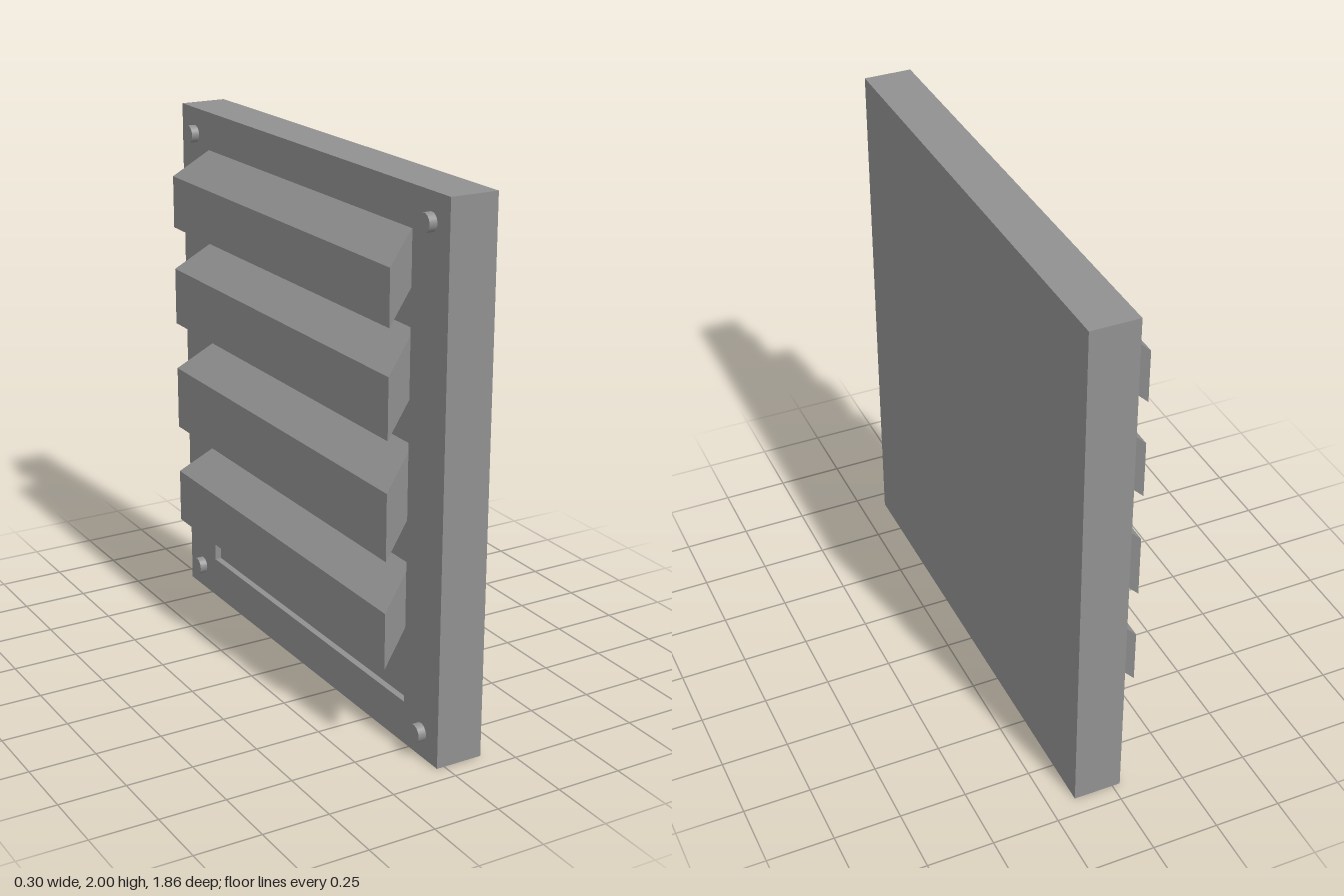
import * as THREE from 'three';

const FRONT_X = -0.03;   // face of the frame
const RECESS_X = -0.005; // floor of the shallow recess
const BACK_X = 0.15;
const HALF_Z = 0.93;

export function createModel() {
  const group = new THREE.Group();
  const grey = new THREE.MeshStandardMaterial({ color: 0x909090 });
  grey.name = 'grey';

  const add = (name, geometry) => {
    const mesh = new THREE.Mesh(geometry, grey);
    mesh.name = name;
    group.add(mesh);
    return mesh;
  };

  // Solid backing slab
  add('backPanel', new THREE.BoxGeometry(BACK_X - RECESS_X, 2, HALF_Z * 2))
    .position.set((BACK_X + RECESS_X) / 2, 1, 0);

  // Rim around the recessed opening, drawn in z-y and extruded towards -x
  const rectangle = (path, halfWidth, bottom, top) => path
    .moveTo(-halfWidth, bottom).lineTo(halfWidth, bottom)
    .lineTo(halfWidth, top).lineTo(-halfWidth, top).closePath();
  const rim = rectangle(new THREE.Shape(), HALF_Z, 0, 2);
  rim.holes.push(rectangle(new THREE.Path(), 0.715, 0.16, 1.855));
  const frame = new THREE.ExtrudeGeometry(rim, { depth: RECESS_X - FRONT_X, bevelEnabled: false });
  frame.rotateY(-Math.PI / 2);
  frame.translate(RECESS_X, 0, 0);
  add('frame', frame);

  // Sloping louvre blades, flared outwards: [lower, upper] height at the frame face
  const blades = [[0.44, 0.65], [0.84, 1.085], [1.27, 1.49], [1.655, 1.855]];
  const outerX = -0.152;
  for (const [low, high] of blades) {
    const blade = new THREE.BoxGeometry(1, 1, 1);
    const p = blade.attributes.position;
    for (let i = 0; i < p.count; i++) {
      const x = p.getX(i) < 0 ? outerX : 0;
      const out = (FRONT_X - x) / (FRONT_X - outerX);
      const y = (p.getY(i) < 0 ? low : high) - 0.1 * out;
      p.setXYZ(i, x, y, Math.sign(p.getZ(i)) * (0.712 + 0.065 * out));
    }
    blade.computeVertexNormals();
    add('louvreBlade', blade);
  }

  // Corner screws
  const screw = new THREE.CylinderGeometry(0.033, 0.033, 0.04, 24);
  screw.rotateZ(Math.PI / 2);
  for (const y of [0.095, 1.9]) {
    for (const z of [-0.825, 0.825]) add('cornerScrew', screw).position.set(-0.04, y, z);
  }

  return group;
}
